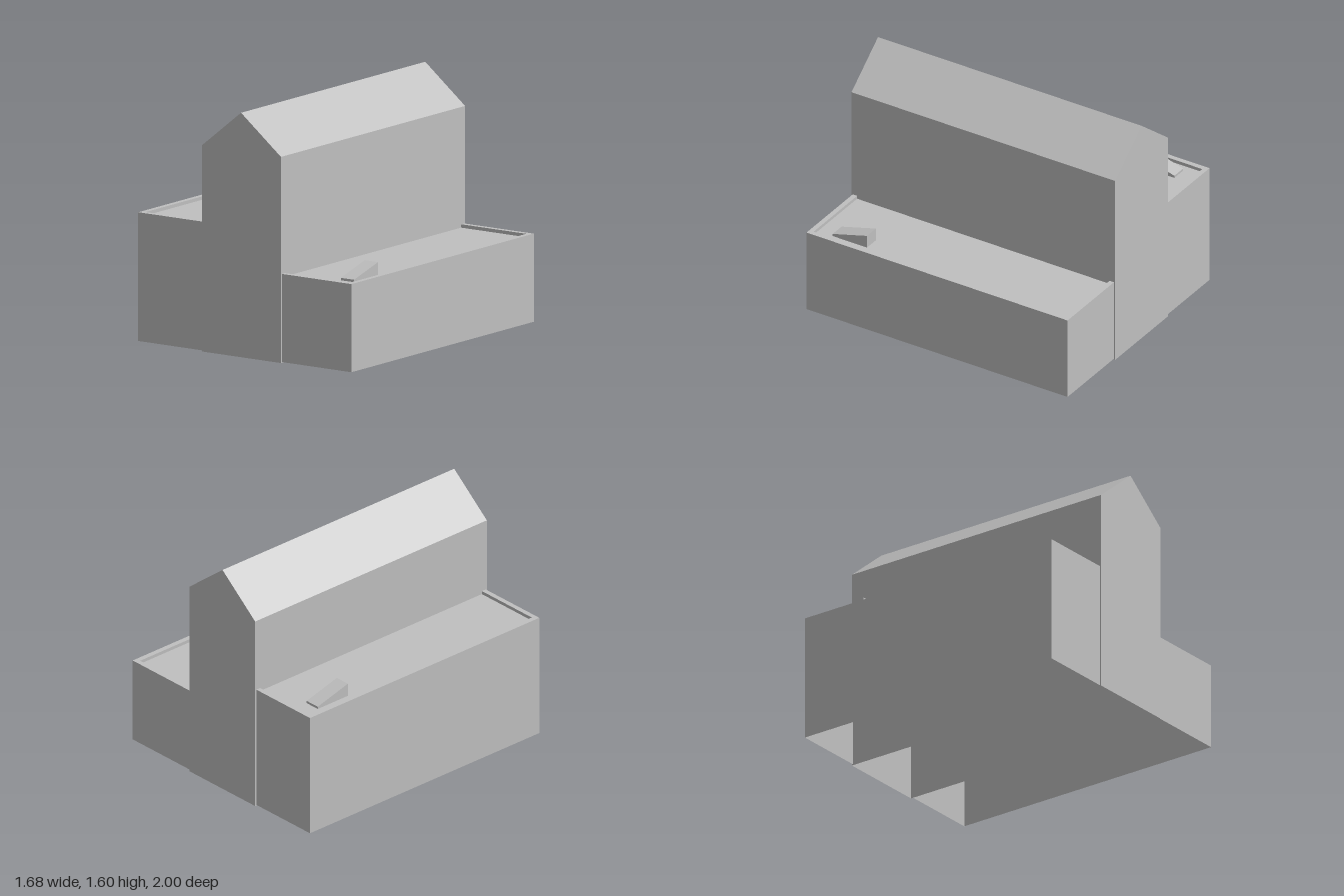
import * as THREE from 'three';

// Flat-shaded geometry from a list of quads, each given as four corners
function quads(list) {
  const pos = [];
  for (const [a, b, c, d] of list) pos.push(...a, ...b, ...c, ...a, ...c, ...d);
  const g = new THREE.BufferGeometry();
  g.setAttribute('position', new THREE.Float32BufferAttribute(pos, 3));
  g.computeVertexNormals();
  return g;
}

export function createModel() {
  const group = new THREE.Group();
  const plaster = new THREE.MeshStandardMaterial({ color: 0xc0c0c0, side: THREE.DoubleSide });
  plaster.name = 'plaster grey';

  const add = (name, geometry) => {
    const mesh = new THREE.Mesh(geometry, plaster);
    mesh.name = name;
    group.add(mesh);
    return mesh;
  };

  // Tall gabled hall, hollow and open below
  const profile = [[-0.335, 0], [-0.335, 1.345], [-0.025, 1.595], [0.29, 1.345], [0.29, 0]];
  const names = ['hallRightWall', 'hallRightRoof', 'hallLeftRoof', 'hallLeftWall'];
  names.forEach((name, i) => {
    const [p, q] = [profile[i], profile[i + 1]];
    add(name, quads([[[...p, -1], [...p, 1], [...q, 1], [...q, -1]]]));
  });
  const gable = new THREE.Shape(profile.map(([x, y]) => new THREE.Vector2(x, y)));
  add('frontGable', new THREE.ShapeGeometry(gable)).position.z = 1;
  const back = add('backGable', new THREE.ShapeGeometry(
    new THREE.Shape(profile.map(([x, y]) => new THREE.Vector2(-x, y)))));
  back.rotation.y = Math.PI;
  back.position.z = -1;

  // Flat-roofed wing: U-shaped walls, parapet and sunken roof deck
  function wing(name, xIn, xOut, height) {
    const s = Math.sign(xOut), deck = height - 0.022, zo = 0.99, zi = 0.957;
    const xi = xOut - s * 0.035;
    const outer = [[xIn, zo], [xOut, zo], [xOut, -zo], [xIn, -zo]];
    const inner = [[xIn, zi], [xi, zi], [xi, -zi], [xIn, -zi]];
    const rows = [[outer, 0.005], [outer, height], [inner, height], [inner, deck]];
    const at = (r, i) => [rows[r][0][i][0], rows[r][1], rows[r][0][i][1]];
    const face = (a, b, c, d) => (s > 0 ? [a, b, c, d] : [d, c, b, a]);
    ['Walls', 'ParapetTop', 'ParapetInside'].forEach((part, r) => {
      const list = [];
      for (let i = 0; i < 3; i++) list.push(face(at(r, i), at(r, i + 1), at(r + 1, i + 1), at(r + 1, i)));
      add(name + part, quads(list));
    });
    add(name + 'RoofDeck', quads([face(at(3, 0), at(3, 1), at(3, 2), at(3, 3))]));
  }
  wing('leftWing', 0.29, 0.84, 0.58);
  wing('rightWing', -0.335, -0.845, 0.845);

  // Wedge-shaped roof hatches, sloping down towards the outer end
  function hatch(name, x, deck, turn) {
    const side = new THREE.Shape([
      new THREE.Vector2(-0.13, 0), new THREE.Vector2(0.13, 0),
      new THREE.Vector2(0.13, 0.016), new THREE.Vector2(-0.13, 0.088)]);
    const g = new THREE.ExtrudeGeometry(side, { depth: 0.105, bevelEnabled: false });
    g.translate(0, 0, -0.0525);
    g.rotateY(turn * -Math.PI / 2);
    add(name, g).position.set(x, deck, turn * 0.715);
  }
  hatch('leftRoofHatch', 0.703, 0.558, 1);
  hatch('rightRoofHatch', -0.707, 0.823, -1);

  return group;
}
